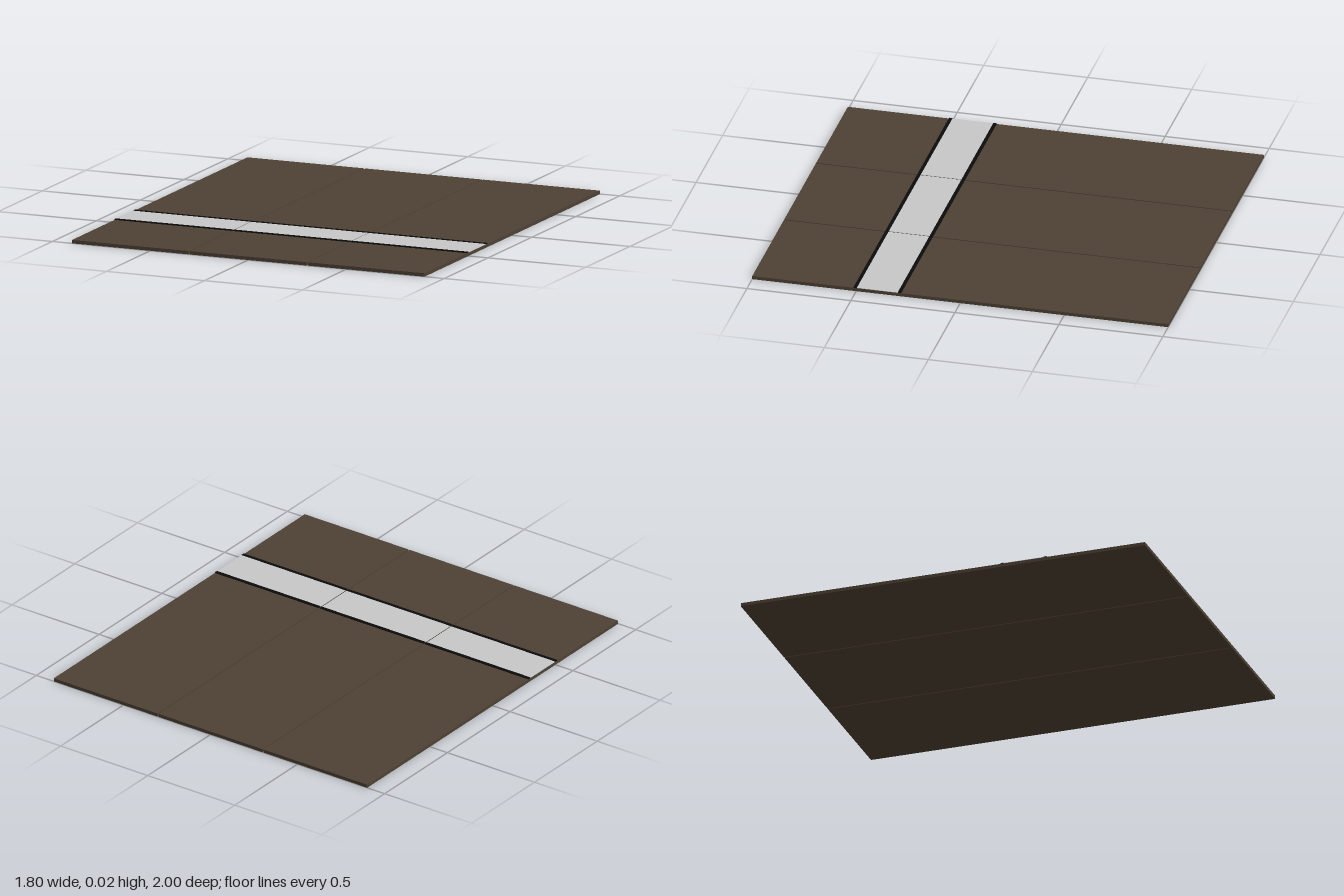
import * as THREE from 'three';

export function createModel() {
  const model = new THREE.Group();
  model.name = 'stripedPanel';

  const brown = new THREE.MeshStandardMaterial({ name: 'darkBrown', color: 0x4e4134 });
  const silver = new THREE.MeshStandardMaterial({ name: 'silver', color: 0xc8c8c8 });
  const black = new THREE.MeshStandardMaterial({ name: 'black', color: 0x0c0c0c });

  const pitch = 0.602, width = 0.596, thickness = 0.016;

  // Box resting on the given height
  function slab(parent, name, material, height, depth, y, z) {
    const mesh = new THREE.Mesh(new THREE.BoxGeometry(width, height, depth), material);
    mesh.name = name;
    mesh.position.set(0, y + height / 2, z);
    parent.add(mesh);
  }

  // Three boards side by side, each crossed by the silver band and its black trims
  ['right', 'middle', 'left'].forEach((side, i) => {
    const board = new THREE.Group();
    board.name = side + 'Board';
    board.position.x = (i - 1) * pitch;
    slab(board, 'plank', brown, thickness, 2, 0, 0);
    slab(board, 'silverBand', silver, 0.002, 0.2, thickness, 0.398);
    slab(board, 'backTrim', black, 0.004, 0.016, thickness, 0.292);
    slab(board, 'frontTrim', black, 0.004, 0.016, thickness, 0.505);
    model.add(board);
  });

  return model;
}
